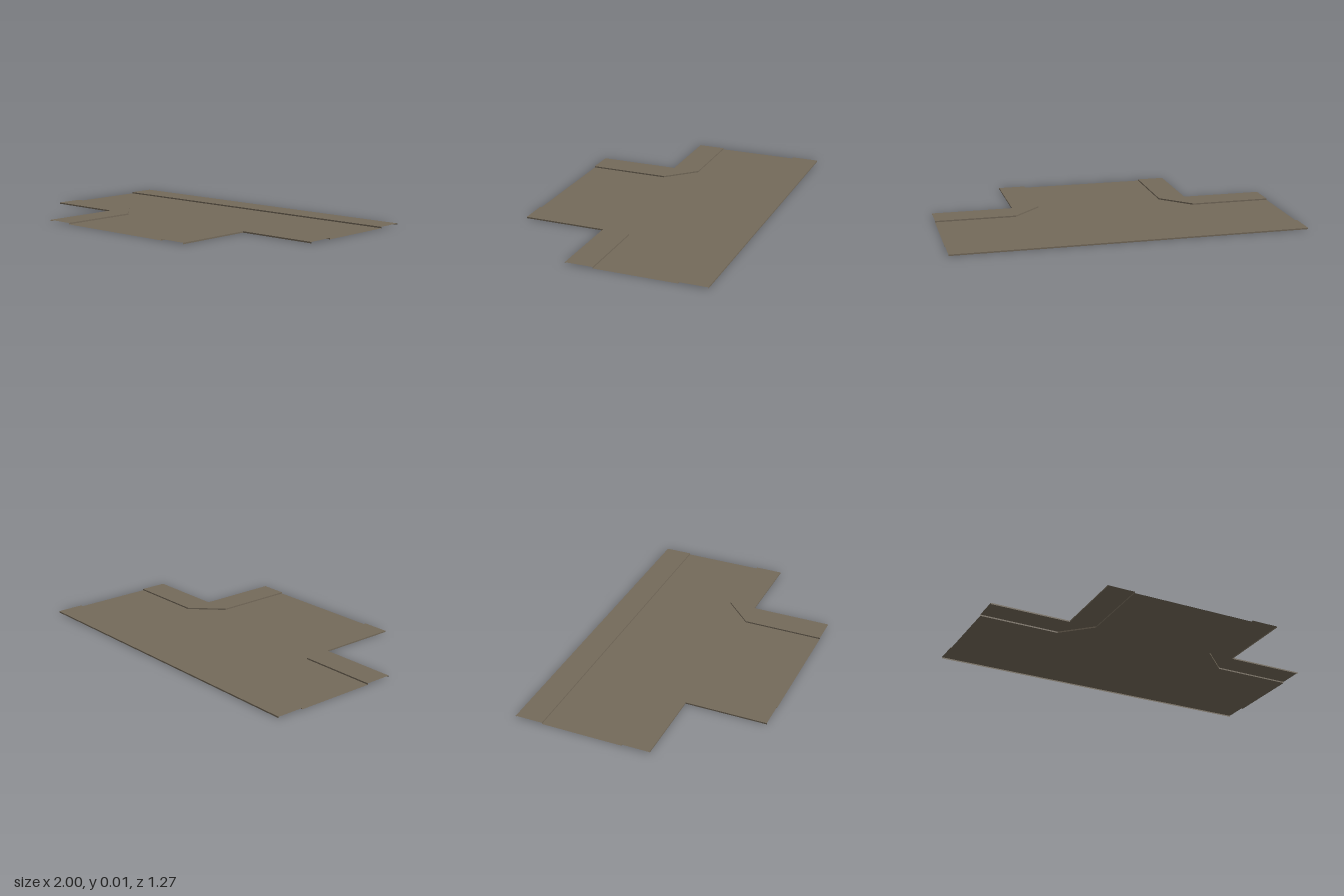
import * as THREE from 'three';

const CURB = 0.008; // height of the pavements above the road

export function createModel() {
  const model = new THREE.Group();
  model.name = 'roadJunction';

  const asphalt = new THREE.MeshStandardMaterial({ color: 0x746a5a, side: THREE.DoubleSide });
  asphalt.name = 'asphalt';

  // Flat upward-facing panel from [x, z] points
  function panel(name, points, y, parent) {
    const shape = new THREE.Shape(points.map(([x, z]) => new THREE.Vector2(x, -z)));
    const mesh = new THREE.Mesh(new THREE.ShapeGeometry(shape).rotateX(-Math.PI / 2), asphalt);
    mesh.position.y = y;
    mesh.name = name;
    parent.add(mesh);
  }

  // Upright kerb faces following a path of [x, z] points, facing right of travel
  function kerb(name, path, parent) {
    const positions = [];
    for (let i = 0; i < path.length - 1; i++) {
      const [ax, az] = path[i], [bx, bz] = path[i + 1];
      positions.push(ax, 0, az, bx, CURB, bz, ax, CURB, az);
      positions.push(ax, 0, az, bx, 0, bz, bx, CURB, bz);
    }
    const geometry = new THREE.BufferGeometry();
    geometry.setAttribute('position', new THREE.Float32BufferAttribute(positions, 3));
    geometry.computeVertexNormals();
    const mesh = new THREE.Mesh(geometry, asphalt);
    mesh.name = name;
    parent.add(mesh);
  }

  // A pavement is a top between two kerbs, open underneath and at its ends
  function pavement(name, inner, outer) {
    const group = new THREE.Group();
    group.name = name;
    panel(name + 'Top', [...inner, ...[...outer].reverse()], CURB, group);
    kerb(name + 'InnerKerb', inner, group);
    kerb(name + 'OuterKerb', [...outer].reverse(), group);
    model.add(group);
  }

  // T-shaped carriageway
  panel('road', [
    [-1, -0.475], [-1, 0], [-0.535, 0], [-0.37, 0.165], [-0.37, 0.635],
    [0.37, 0.635], [0.37, 0.165], [0.535, 0], [1, 0], [1, -0.475],
  ], 0, model);

  // Straight pavement along the back
  pavement('backPavement', [[-1, -0.475], [1, -0.475]], [[-1, -0.635], [1, -0.635]]);

  // Corner pavements, mirrored; the path is reversed to keep the kerbs facing outward
  const inner = [[1, 0], [0.535, 0], [0.37, 0.165], [0.37, 0.635]];
  const outer = [[1, 0.16], [0.53, 0.16], [0.53, 0.635]];
  const mirror = (path) => path.map(([x, z]) => [-x, z]).reverse();
  pavement('leftCornerPavement', inner, outer);
  pavement('rightCornerPavement', mirror(inner), mirror(outer));

  return model;
}
